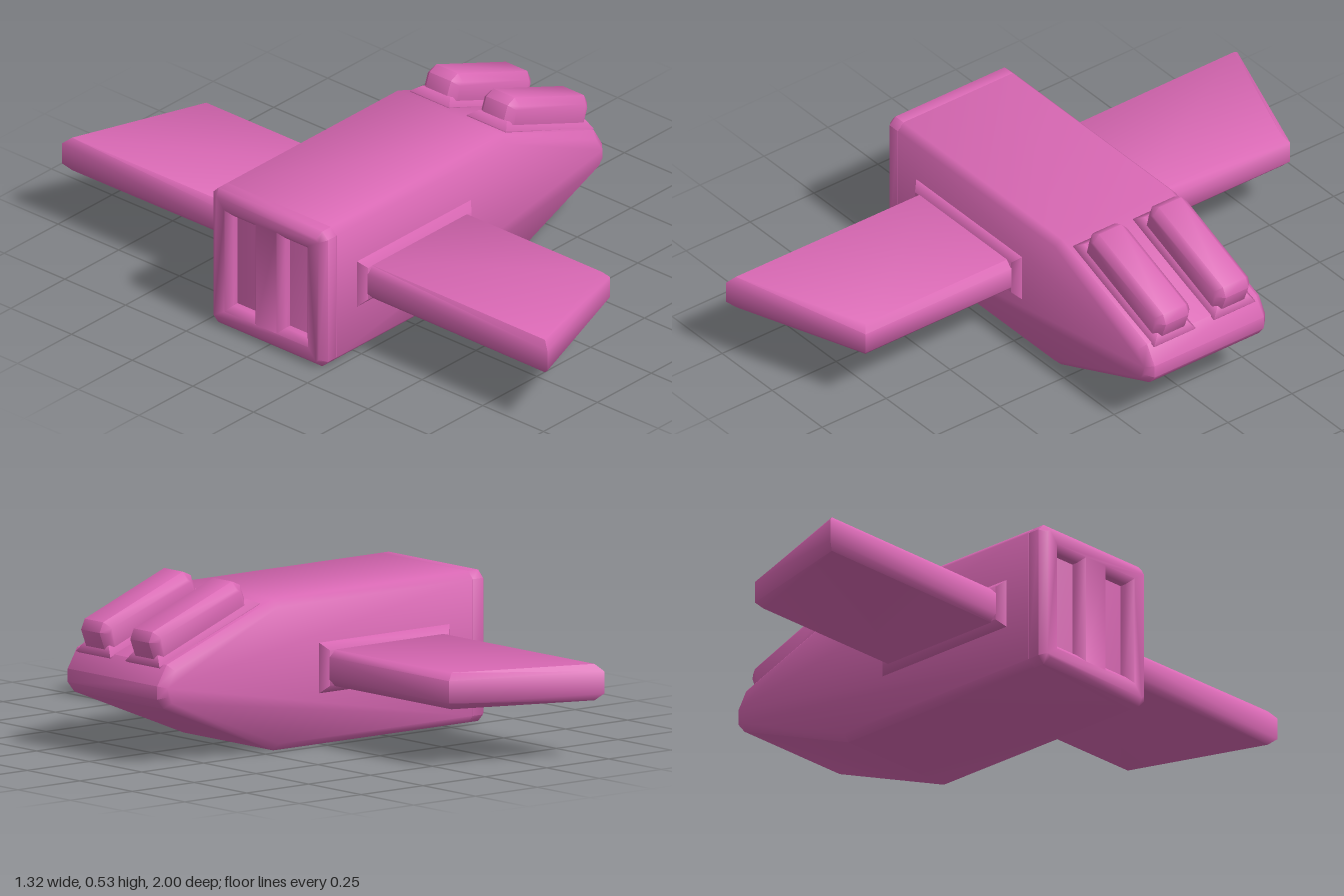
import * as THREE from 'three';
import { toCreasedNormals } from 'three/addons/utils/BufferGeometryUtils.js';

const material = new THREE.MeshStandardMaterial({ color: 0xd968b4 });

// Outline extruded along z, centred, with chamfered rims kept inside the outline
function prism(points, depth, bevel, holes = []) {
  const toPath = (list) => list.map(([x, y]) => new THREE.Vector2(x, y));
  const shape = new THREE.Shape(toPath(points));
  shape.holes = holes.map((hole) => new THREE.Path(toPath(hole)));
  const geometry = new THREE.ExtrudeGeometry(shape, {
    depth: depth - 2 * bevel,
    bevelEnabled: true,
    bevelSegments: 1,
    bevelSize: bevel,
    bevelThickness: bevel,
    bevelOffset: -bevel,
  });
  return geometry.translate(0, 0, bevel - depth / 2);
}

const rect = (x0, y0, x1, y1) => [[x0, y0], [x1, y0], [x1, y1], [x0, y1]];

// Rectangle with cut corners
const cutRect = (x0, y0, x1, y1, c) => [
  [x0 + c, y0], [x1 - c, y0], [x1, y0 + c], [x1, y1 - c],
  [x1 - c, y1], [x0 + c, y1], [x0, y1 - c], [x0, y0 + c],
];

function addPart(parent, name, geometry) {
  const mesh = new THREE.Mesh(toCreasedNormals(geometry, 0.85), material);
  mesh.name = name;
  parent.add(mesh);
  return mesh;
}

export function createModel() {
  const model = new THREE.Group();
  model.name = 'toyAircraft';
  const bevel = 0.023;
  const halfWidth = 0.236;
  const top = 0.473;

  // Fuselage with a tapered nose
  addPart(model, 'fuselage', prism([
    [-0.62, 0.003], [-0.6, 0], [0.188, 0], [0.63, 0.178], [0.656, 0.21],
    [0.656, 0.252], [0.618, 0.315], [0.19, top], [-0.6, top], [-0.62, top - 0.003],
  ], 2 * halfWidth, bevel));

  // Tail plate with two recessed vertical slots
  const slots = [-1, 1].map((s) => rect(s * 0.108 - 0.045, 0.08, s * 0.108 + 0.045, 0.395));
  const tail = prism(cutRect(-halfWidth, 0, halfWidth, top, bevel), 0.08, 0.02, slots);
  addPart(model, 'tailPlate', tail.rotateY(-Math.PI / 2).translate(-0.62, 0, 0));

  for (const side of [1, -1]) {
    // Swept-tip wing
    const wing = prism([
      [-0.482, side * 0.2], [0, side * 0.2], [0, side * 0.83], [-0.482, side],
    ], 0.114, 0.022);
    addPart(model, 'wing', wing.rotateX(Math.PI / 2).translate(0, 0.241, 0));

    // Sloped collar where the wing meets the fuselage
    const collar = prism(rect(-0.505, 0.163, 0.022, 0.321), 0.05, 0.024);
    addPart(model, 'wingCollar', collar.translate(0, 0, side * halfWidth));

    // Raised block on the sloping nose deck, with a flared foot
    const pod = new THREE.Group();
    pod.name = 'nosePod';
    pod.position.set(0.436, 0.382, side * 0.117);
    pod.rotation.z = -0.365;
    const block = prism(cutRect(-0.197, -0.04, 0.197, 0.098, 0.025), 0.132, 0.022);
    addPart(pod, 'podBlock', block);
    const foot = prism(rect(-0.222, -0.081, 0.212, 0.081), 0.05, 0.024);
    addPart(pod, 'podFoot', foot.rotateX(-Math.PI / 2));
    model.add(pod);
  }

  return model;
}
